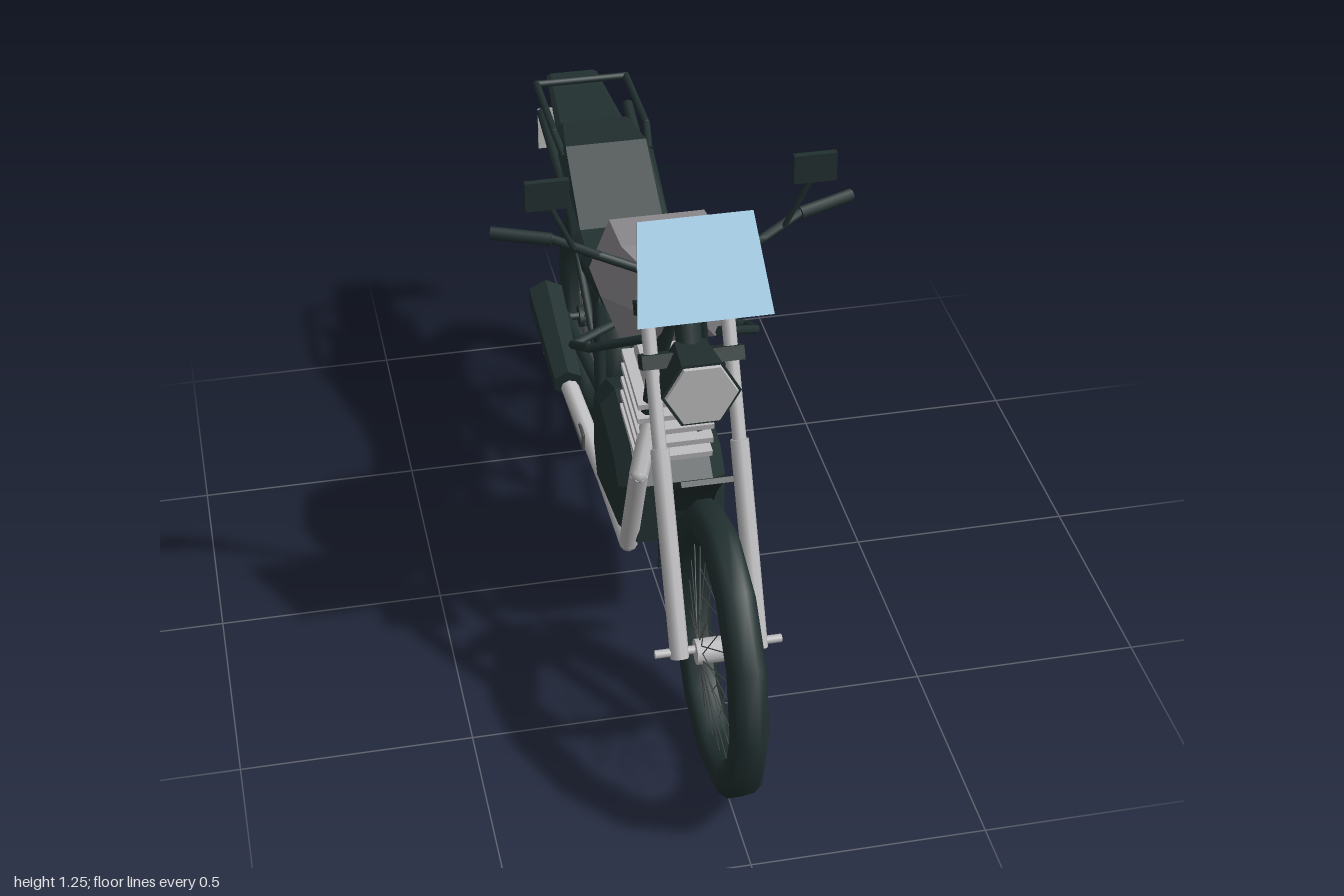
import * as THREE from 'three';
import { mergeGeometries } from 'three/addons/utils/BufferGeometryUtils.js';

const V = (p) => new THREE.Vector3(...p);
const mat = (name, color, side = THREE.FrontSide) => {
  const m = new THREE.MeshStandardMaterial({ color, side });
  m.name = name;
  return m;
};

export function createModel() {
  const root = new THREE.Group();
  root.name = 'motorcycle';
  const dark = mat('dark green black', 0x223030);
  const steel = mat('spoke steel', 0x4c5050);
  const paint = mat('tank grey', 0x8f8c90);
  const metal = mat('light metal', 0xbcbcbe);
  const glass = mat('windshield blue', 0x9cc8e2, THREE.DoubleSide);
  const red = mat('tail light red', 0xb81c1c);

  const add = (name, geo, m, pos = [0, 0, 0]) => {
    const mesh = new THREE.Mesh(geo, m);
    mesh.name = name;
    mesh.position.set(...pos);
    root.add(mesh);
    return mesh;
  };
  const flat = (geo) => {
    const g = geo.index ? geo.toNonIndexed() : geo;
    g.computeVertexNormals();
    return g;
  };
  const box = (name, m, size, pos) => add(name, new THREE.BoxGeometry(...size), m, pos);

  // Straight rod between two points
  const rodGeo = (a, b, r0, r1 = r0, sides = 8) => {
    const A = V(a), B = V(b), d = B.clone().sub(A);
    const g = new THREE.CylinderGeometry(r1, r0, d.length(), sides);
    g.applyQuaternion(new THREE.Quaternion().setFromUnitVectors(V([0, 1, 0]), d.normalize()));
    const c = A.add(B).multiplyScalar(0.5);
    return g.translate(c.x, c.y, c.z);
  };
  // Bent pipe made of rods, with a ball at each bend
  const pipe = (name, m, r, pts, sides = 8) => {
    const parts = [];
    for (let i = 1; i < pts.length; i++) {
      parts.push(rodGeo(pts[i - 1], pts[i], r, r, sides));
      if (i < pts.length - 1) parts.push(new THREE.SphereGeometry(r, sides, 6).translate(...pts[i]));
    }
    return add(name, mergeGeometries(parts), m);
  };
  const pair = (name, m, r, pts) => [-1, 1].forEach((s) =>
    pipe((s > 0 ? 'left ' : 'right ') + name, m, r, pts.map(([x, y, z]) => [x * s, y, z])));

  // Faceted body through cross-sections [z, bottom, top, halfWidth], front to back
  const loft = (sections, ring) => {
    const n = ring.length, pos = [], idx = [];
    for (const [z, yb, yt, w] of sections)
      for (const [fx, fy] of ring) pos.push(fx * w, yb + (yt - yb) * fy, z);
    for (let i = 0; i < sections.length - 1; i++)
      for (let j = 0; j < n; j++) {
        const a = i * n + j, b = i * n + (j + 1) % n;
        idx.push(a, b, a + n, b, b + n, a + n);
      }
    const last = (sections.length - 1) * n;
    for (let j = 1; j < n - 1; j++) idx.push(0, j + 1, j, last, last + j, last + j + 1);
    const g = new THREE.BufferGeometry();
    g.setAttribute('position', new THREE.Float32BufferAttribute(pos, 3));
    g.setIndex(idx);
    return flat(g);
  };

  // Wheels: tyre, hub and crossed spokes
  const wheel = (name, y, z, R, r, w, hubMat) => {
    const half = [[r, 0.6 * w], [r + 0.022, 0.85 * w], [R - 0.04, w], [R - 0.015, 0.8 * w], [R, 0.35 * w]];
    const prof = [...half.map(([a, b]) => [a, -b]), ...half.reverse(), [r, -0.6 * w]];
    const tyre = new THREE.LatheGeometry(prof.map((p) => new THREE.Vector2(...p)), 12);
    add(name + ' tyre', tyre.rotateZ(Math.PI / 2), dark, [0, y, z]);
    const spokes = [];
    for (let i = 0; i < 40; i++) {
      const t = (i / 40) * Math.PI * 2, u = t + (i % 4 < 2 ? 0.5 : -0.5), s = i % 2 ? 1 : -1;
      spokes.push(rodGeo([s * 0.04, 0.026 * Math.cos(u), 0.026 * Math.sin(u)],
        [s * 0.01, (r + 0.005) * Math.cos(t), (r + 0.005) * Math.sin(t)], 0.0014, 0.0014, 3));
    }
    add(name + ' spokes', mergeGeometries(spokes), steel, [0, y, z]);
    add(name + ' hub', rodGeo([-0.05, 0, 0], [0.05, 0, 0], 0.028, 0.028, 10), hubMat, [0, y, z]);
  };
  wheel('front wheel', 0.317, 0.685, 0.315, 0.235, 0.041, metal);
  wheel('rear wheel', 0.298, -0.655, 0.292, 0.215, 0.054, dark);
  pipe('front axle', metal, 0.009, [[-0.135, 0.32, 0.68], [0.135, 0.32, 0.68]]);
  pipe('rear axle', dark, 0.01, [[-0.11, 0.3, -0.655], [0.11, 0.3, -0.655]]);

  // Fork and steering head
  pair('lower fork leg', metal, 0.02, [[0.084, 0.31, 0.69], [0.084, 0.7, 0.485]]);
  pair('upper fork tube', metal, 0.015, [[0.084, 0.69, 0.49], [0.084, 0.99, 0.332]]);
  for (const [y, z] of [[0.96, 0.35], [0.86, 0.4]])
    box('fork clamp', dark, [0.215, 0.03, 0.05], [0, y, z]).rotation.x = -0.48;
  pipe('steering stem', dark, 0.028, [[0, 0.83, 0.4], [0, 1.03, 0.31]]);

  // Handlebar, grips and mirrors
  pair('handlebar', dark, 0.01, [[0, 1.03, 0.33], [0.09, 1.035, 0.322], [0.17, 1.062, 0.297], [0.26, 1.085, 0.25], [0.375, 1.093, 0.212]]);
  pair('grip', dark, 0.014, [[0.26, 1.085, 0.252], [0.38, 1.092, 0.212]]);
  pair('mirror stem', dark, 0.006, [[0.22, 1.075, 0.28], [0.275, 1.2, 0.295]]);
  for (const s of [-1, 1]) box('mirror', dark, [0.09, 0.064, 0.014], [s * 0.276, 1.218, 0.297]);

  // Headlight with six-sided housing
  const six = (front, back, len) => flat(new THREE.CylinderGeometry(front, back, len, 6, 1, false, Math.PI / 6).rotateX(Math.PI / 2));
  add('headlight housing', six(0.084, 0.066, 0.115), dark, [0, 0.832, 0.44]);
  add('headlight lens', six(0.075, 0.078, 0.008), metal, [0, 0.832, 0.5]);

  // Windshield
  const shield = new THREE.Shape([[-0.139, 0], [0.139, 0], [0.118, 0.21], [-0.118, 0.21]].map((p) => new THREE.Vector2(...p)));
  add('windshield', new THREE.ExtrudeGeometry(shield, { depth: 0.006, bevelEnabled: false }), glass, [0, 1.027, 0.528]).rotation.x = -0.55;

  // Front fender: curved strip behind the tyre
  const fenderLine = [[0.555, 0.66], [0.46, 0.59], [0.4, 0.52], [0.36, 0.44], [0.335, 0.35], [0.325, 0.265]];
  const strip = [...fenderLine, ...fenderLine.map(([z, y]) => [z + 0.009, y + 0.004 - 0.012 * (y > 0.5)]).reverse()];
  const sideExtrude = (pts, width, bevel = 0) => {
    const g = new THREE.ExtrudeGeometry(new THREE.Shape(pts.map((p) => new THREE.Vector2(...p))), {
      depth: width - 2 * bevel, bevelEnabled: bevel > 0, bevelSize: bevel, bevelThickness: bevel, bevelOffset: -bevel, bevelSegments: 1 });
    return g.translate(0, 0, -(width - 2 * bevel) / 2).rotateY(-Math.PI / 2);
  };
  add('front fender', sideExtrude(strip, 0.11), dark);

  // Fuel tank
  add('fuel tank', loft([
    [0.34, 0.89, 0.98, 0.06], [0.29, 0.83, 1.01, 0.105], [0.2, 0.788, 1.018, 0.152],
    [0.05, 0.768, 0.995, 0.148], [-0.02, 0.765, 0.93, 0.12], [-0.06, 0.765, 0.885, 0.085],
  ], [[0.7, 1], [1, 0.5], [0.72, 0], [-0.72, 0], [-1, 0.5], [-0.7, 1]]), paint);

  // Seat, tail, rack, tail light and plate
  const seatRing = [[0.85, 1], [1, 0.6], [0.95, 0], [-0.95, 0], [-1, 0.6], [-0.85, 1]];
  add('seat', loft([
    [-0.045, 0.715, 0.77, 0.105], [-0.26, 0.68, 0.728, 0.115], [-0.34, 0.7, 0.738, 0.115],
    [-0.53, 0.785, 0.852, 0.112], [-0.675, 0.805, 0.835, 0.09],
  ], seatRing), dark);
  add('tail', loft([
    [-0.2, 0.67, 0.7, 0.09], [-0.56, 0.745, 0.79, 0.1], [-0.72, 0.775, 0.8, 0.085], [-0.98, 0.79, 0.806, 0.063],
  ], seatRing), dark);
  pipe('luggage rack', dark, 0.009, [[-0.1, 0.83, -0.52], [-0.11, 0.855, -0.6], [-0.11, 0.853, -0.845],
    [0.11, 0.853, -0.845], [0.11, 0.855, -0.6], [0.1, 0.83, -0.52]]);
  box('tail light', red, [0.11, 0.034, 0.036], [0, 0.774, -0.957]);
  box('number plate', metal, [0.17, 0.11, 0.006], [0, 0.645, -0.997]);

  // Frame
  pair('seat rail', dark, 0.013, [[0.095, 0.715, -0.07], [0.095, 0.68, -0.17], [0.1, 0.74, -0.54], [0.105, 0.8, -0.8]]);
  pair('seat post', dark, 0.014, [[0.09, 0.68, -0.165], [0.09, 0.4, -0.145]]);
  pair('seat strut', dark, 0.01, [[0.09, 0.48, -0.155], [0.095, 0.735, -0.55]]);
  pair('down tube', dark, 0.016, [[0.03, 0.92, 0.34], [0.055, 0.72, 0.27], [0.06, 0.49, 0.19]]);
  pipe('backbone', dark, 0.018, [[0, 0.92, 0.33], [0, 0.79, 0.1], [0, 0.75, -0.08]]);
  pair('swingarm', dark, 0.015, [[0.085, 0.425, -0.1], [0.085, 0.3, -0.665]]);
  pair('crash bar', dark, 0.01, [[0.08, 0.85, 0.3], [0.18, 0.785, 0.215], [0.193, 0.715, 0.09], [0.13, 0.715, 0.05], [0.05, 0.715, 0]]);

  // Engine with finned cylinder
  add('engine block', sideExtrude([[0.25, 0.43], [0.18, 0.49], [0, 0.525], [-0.11, 0.48],
    [-0.11, 0.32], [-0.06, 0.225], [0.25, 0.28]], 0.24, 0.035), dark);
  box('cylinder', metal, [0.12, 0.24, 0.13], [0, 0.6, 0.15]).rotation.x = 0.14;
  for (let i = 0; i < 5; i++)
    box('cooling fin', metal, [0.17, 0.014, 0.185], [0, 0.505 + i * 0.04, 0.15 + i * 0.006]).rotation.x = 0.14;

  // Exhaust on the right side
  pipe('exhaust pipe', metal, 0.021, [[-0.03, 0.65, 0.2], [-0.09, 0.5, 0.295], [-0.1, 0.265, 0.225],
    [-0.1, 0.25, -0.05], [-0.145, 0.37, -0.28]]);
  add('muffler', flat(rodGeo([-0.147, 0.375, -0.26], [-0.147, 0.435, -0.56], 0.036, 0.046, 6)), dark);

  // Chain on the right, foot lever on the left
  const cx = -0.137;
  pipe('chain', steel, 0.004, [[0.285, -0.12], [0.265, -0.45], [0.2, -0.655], [0.305, -0.757],
    [0.405, -0.655], [0.4, -0.5], [0.33, -0.3], [0.32, -0.12], [0.285, -0.12]].map(([y, z]) => [cx, y, z]), 4);
  pipe('foot lever', dark, 0.007, [[0.09, 0.285, -0.06], [0.108, 0.28, -0.29]]);
  pipe('foot peg', dark, 0.01, [[0.09, 0.277, -0.285], [0.135, 0.277, -0.285]]);
  return root;
}
